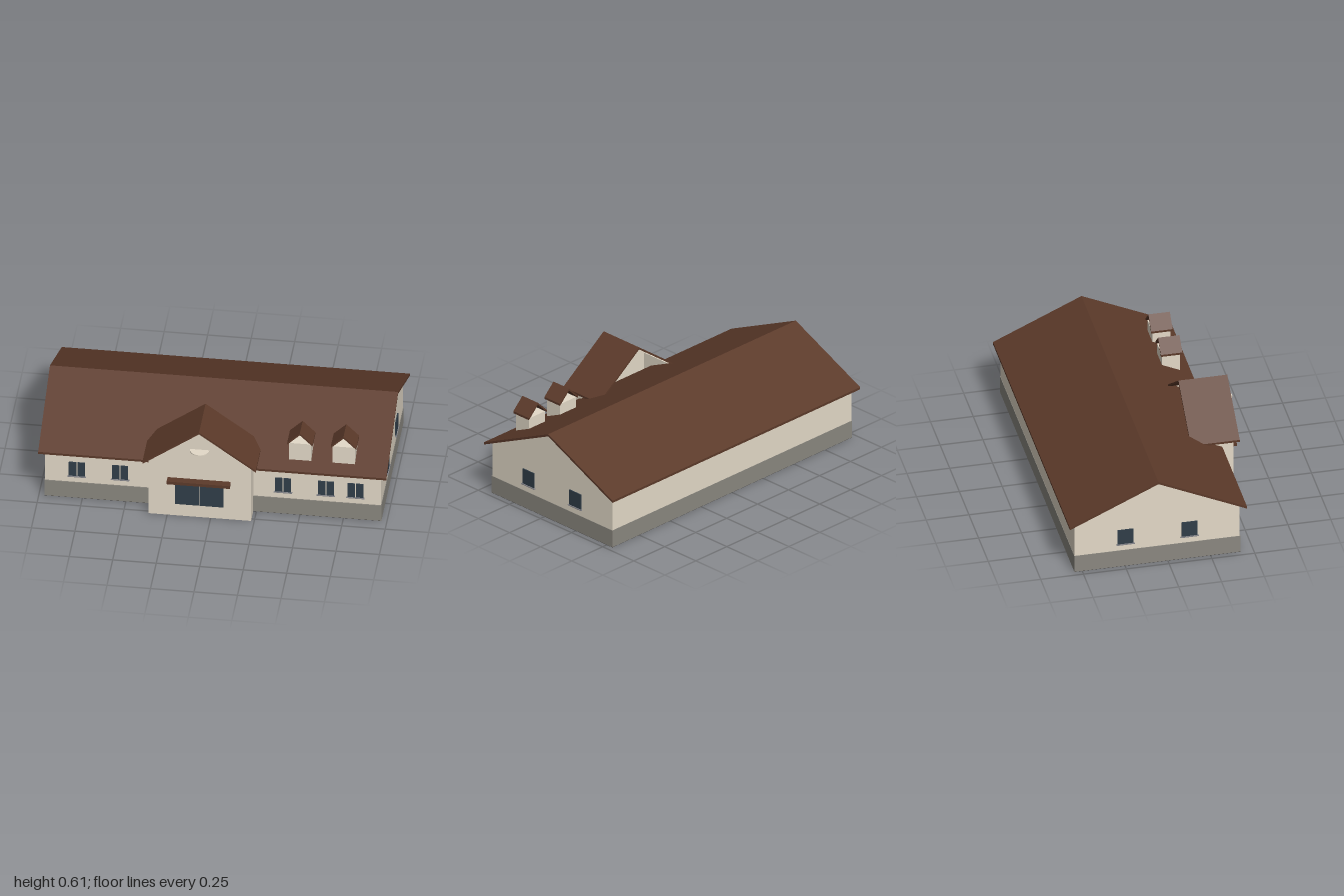
import * as THREE from 'three';

const mat = (name, color, side = THREE.FrontSide) => {
  const m = new THREE.MeshStandardMaterial({ color, side });
  m.name = name;
  return m;
};

export function createModel() {
  const group = new THREE.Group();
  const wall = mat('plaster', 0xe4dac8, THREE.DoubleSide);
  const roof = mat('roofBrown', 0x5c3a2a);
  const stone = mat('stoneGrey', 0x8b8880);
  const floor = mat('floorDark', 0x484542);
  const glass = mat('darkGlass', 0x313e49);
  const sillGrey = mat('sillGrey', 0x85858a);

  const add = (name, geo, material, x = 0, y = 0, z = 0, parent = group) => {
    const m = new THREE.Mesh(geo, material);
    m.name = name;
    m.position.set(x, y, z);
    parent.add(m);
    return m;
  };
  const box = (name, material, x0, x1, y0, y1, z0, z1, parent) =>
    add(name, new THREE.BoxGeometry(x1 - x0, y1 - y0, z1 - z0), material,
      (x0 + x1) / 2, (y0 + y1) / 2, (z0 + z1) / 2, parent);
  const extrude = (pts, depth) => new THREE.ExtrudeGeometry(
    new THREE.Shape(pts.map(p => new THREE.Vector2(...p))), { depth, bevelEnabled: false });

  // Folded roof slab, open below, running along z
  const gableRoof = (half, eave, ridge, t, depth) => extrude([
    [-half, eave - t], [0, ridge - t], [half, eave - t],
    [half, eave], [0, ridge], [-half, eave]], depth);
  // Wall with a pointed top
  const gableWall = (half, y0, side, peak, depth) => extrude([
    [-half, y0], [half, y0], [half, side], [0, peak], [-half, side]], depth);

  // Main building
  const ridgeZ = -0.062;
  box('stoneBase', stone, -0.968, 0.968, 0.002, 0.108, -0.546, 0.425);
  box('floor', floor, -0.967, 0.967, 0, 0.004, -0.545, 0.424);
  add('mainWalls', gableWall(0.482, 0.108, 0.327, 0.547, 1.93).rotateY(Math.PI / 2),
    wall, -0.965, 0, ridgeZ);
  add('mainRoof', gableRoof(0.517, 0.323, 0.562, 0.014, 2).rotateY(Math.PI / 2),
    roof, -1, 0, ridgeZ);

  // Entrance wing, open behind where it meets the main roof
  const ex = -0.063;
  add('entranceFront', gableWall(0.295, 0, 0.386, 0.6, 0.008), wall, ex, 0, 0.512);
  box('entranceFloor', wall, ex - 0.295, ex + 0.295, 0, 0.004, 0.425, 0.512);
  for (const s of [-1, 1]) {
    const x = ex + s * 0.291;
    box('entranceSide', wall, x - 0.004, x + 0.004, 0.004, 0.386, 0.27, 0.512);
  }
  add('entranceRoof', gableRoof(0.326, 0.376, 0.613, 0.013, 0.285), roof, ex, 0, 0.265);
  box('entranceCanopy', roof, -0.248, 0.115, 0.244, 0.263, 0.518, 0.564);
  for (const s of [-1, 1]) {
    const x = -0.065 + s * 0.0705;
    box('entranceDoor', glass, x - 0.0685, x + 0.0685, 0.083, 0.244, 0.518, 0.526);
  }
  add('gableLedge', new THREE.CylinderGeometry(0.056, 0.056, 0.006, 24, 1, false, -Math.PI / 2, Math.PI),
    wall, ex, 0.471, 0.522);

  // Dormers
  for (const x of [0.496, 0.747]) {
    const d = new THREE.Group();
    d.name = 'dormer';
    d.position.x = x;
    group.add(d);
    box('dormerWalls', wall, -0.064, 0.064, 0.34, 0.47, 0.28, 0.385, d);
    add('dormerRoof', gableRoof(0.073, 0.478, 0.55, 0.013, 0.125), roof, 0, 0, 0.272, d);
  }

  // Windows: panes and sill, facing +z before being turned
  const makeWindow = (x, z, turn, panes) => {
    const w = new THREE.Group();
    w.name = 'window';
    const gap = 0.003, width = 0.092 / panes;
    for (let i = 0; i < panes; i++) {
      const a = -0.046 + i * width;
      box('pane', glass, a + (i ? gap : 0), a + width - (i < panes - 1 ? gap : 0),
        0.153, 0.247, -0.002, 0.006, w);
    }
    box('sill', sillGrey, -0.053, 0.053, 0.147, 0.152, -0.002, 0.011, w);
    w.position.set(x, 0, z);
    w.rotation.y = turn;
    group.add(w);
  };
  for (const x of [-0.782, -0.533, 0.403, 0.649, 0.819]) makeWindow(x, 0.42, 0, 2);
  for (const s of [-1, 1])
    for (const z of [0.127, -0.248]) makeWindow(s * 0.965, z, s * Math.PI / 2, 1);

  return group;
}
